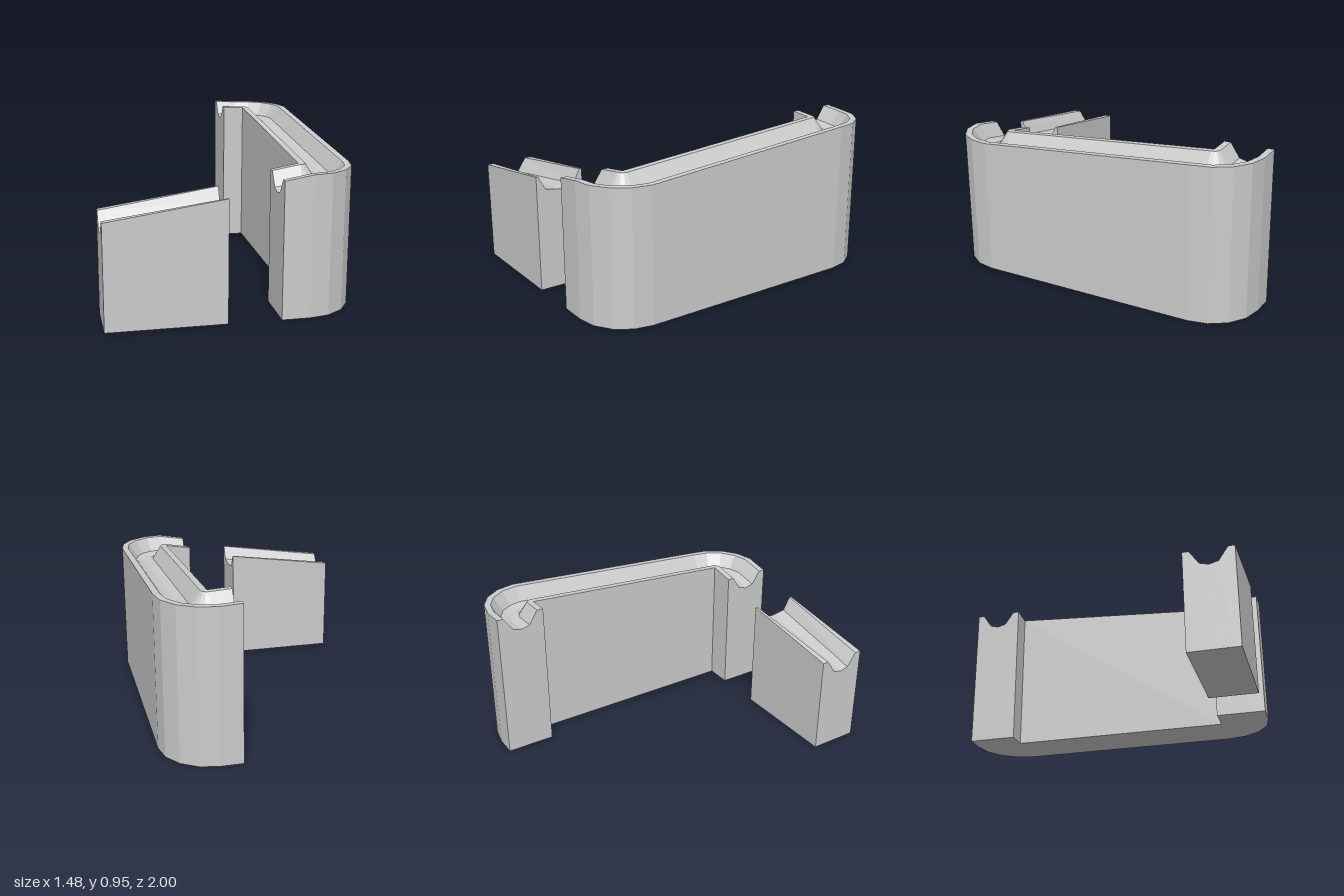
import * as THREE from 'three';

const WIDTH = 0.305, INNER = 0.695, CORNER_X = 0.43;
const DEPTHS = [0, 0, 0.085, 0.1, 0.085, 0, 0];
const NARROW = [0, 0.04, 0.097, WIDTH / 2, 0.208, 0.265, WIDTH];
const WIDE = [0, 0.015, 0.06, WIDTH / 2, 0.245, 0.29, WIDTH];

const material = new THREE.MeshStandardMaterial({ color: 0xcccccc, flatShading: true });

// A station is a wall cross-section: inner point (x, z), angle of the outward
// direction (0 = +z, 90 degrees = +x), rim height and groove offsets.
function station(x, z, angle, height, offsets = NARROW) {
  const at = (o, y) => new THREE.Vector3(x + Math.sin(angle) * o, y, z + Math.cos(angle) * o);
  const top = offsets.map((o, i) => at(o, height - DEPTHS[i]));
  const bottom = offsets.map((o) => at(o, 0));
  return [...top, ...bottom.reverse()];
}

// Skins consecutive stations into a closed solid with a grooved top.
function groovedWall(name, stations) {
  const points = [];
  const tri = (a, b, c) => {
    const area = b.clone().sub(a).cross(c.clone().sub(a)).length();
    if (area > 1e-7) points.push(a, b, c);
  };
  const quad = (a, b, c, d) => { tri(a, b, c); tri(a, c, d); };
  const n = stations[0].length;
  for (let s = 0; s < stations.length - 1; s++) {
    const p = stations[s], q = stations[s + 1];
    for (let i = 0; i < n; i++) {
      const j = (i + 1) % n;
      quad(p[i], p[j], q[j], q[i]);
    }
  }
  // End caps
  const first = stations[0], last = stations[stations.length - 1];
  for (let i = 0; i < n / 2 - 1; i++) {
    const j = i + 1, lowI = n - 1 - i, lowJ = n - 1 - j;
    quad(first[i], first[lowI], first[lowJ], first[j]);
    quad(last[i], last[j], last[lowJ], last[lowI]);
  }
  const geometry = new THREE.BufferGeometry().setFromPoints(points);
  geometry.computeVertexNormals();
  const mesh = new THREE.Mesh(geometry, material);
  mesh.name = name;
  return mesh;
}

export function createModel() {
  const group = new THREE.Group();
  group.name = 'groovedWalls';

  // Short straight block, its top rising and its groove widening towards +x
  group.add(groovedWall('straightBlock', [
    station(-0.74, INNER, 0, 0.625),
    station(-0.045, INNER, 0, 0.725, WIDE),
  ]));

  // Long C-shaped wall with faceted round corners
  const path = [station(0.265, INNER, 0, 0.808)];
  const corner = (z, startAngle, height) => {
    for (let i = 0; i <= 4; i++) {
      path.push(station(CORNER_X, z, startAngle + (i * Math.PI) / 8, height));
    }
  };
  corner(INNER, 0, 0.836);
  corner(-INNER, Math.PI / 2, 0.94);
  path.push(station(0.295, -INNER, Math.PI, 0.948));
  group.add(groovedWall('curvedWall', path));

  return group;
}
